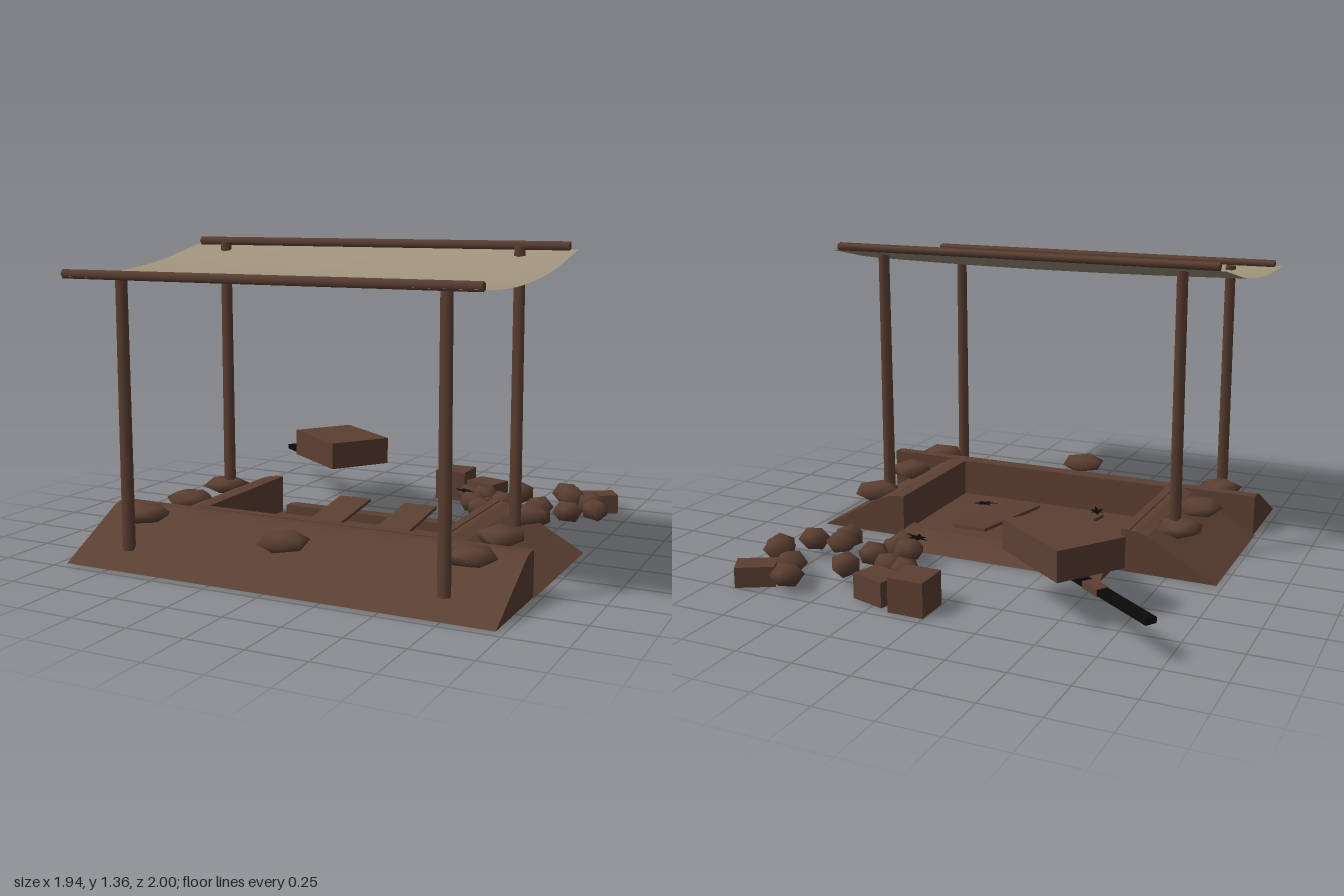
import * as THREE from 'three';
import { mergeVertices } from 'three/addons/utils/BufferGeometryUtils.js';

export function createModel() {
  const model = new THREE.Group();
  const mat = (name, color, extra = {}) => {
    const m = new THREE.MeshStandardMaterial({ color, ...extra });
    m.name = name;
    return m;
  };
  const earth = mat('earthBrown', 0x5c4033);
  const canvas = mat('canvasTan', 0xa0957d, { side: THREE.DoubleSide });
  const black = mat('black', 0x0a0a0a, { side: THREE.DoubleSide });

  const add = (name, geo, m, x = 0, y = 0, z = 0, parent = model) => {
    const mesh = new THREE.Mesh(geo, m);
    mesh.name = name;
    mesh.position.set(x, y, z);
    parent.add(mesh);
    return mesh;
  };
  const box = (name, w, h, d, x, y, z, m = earth, parent = model) =>
    add(name, new THREE.BoxGeometry(w, h, d), m, x, y, z, parent);
  const prism = (pts, depth) => new THREE.ExtrudeGeometry(
    new THREE.Shape(pts.map(p => new THREE.Vector2(...p))), { depth, bevelEnabled: false });

  // Earth banks round three sides of the trench
  const front = prism([[0.53, 0], [0.955, 0], [0.62, 0.18], [0.58, 0.192], [0.53, 0.192]], 1.93);
  front.rotateY(-Math.PI / 2);
  add('frontBank', front, earth, 0.965);
  for (const s of [-1, 1]) {
    const pts = [[0.56, 0], [0.972, 0], [0.66, 0.175], [0.61, 0.19], [0.56, 0.19]];
    add('sideBank', prism(pts.map(([x, y]) => [s * x, y]), 0.69), earth, 0, 0, -0.15);
    box('sideTrenchWall', 0.04, 0.19, 0.68, s * 0.56, 0.1, 0.19);
  }
  box('frontTrenchWall', 1.14, 0.19, 0.04, 0, 0.1, 0.52);
  box('trenchFloor', 1.12, 0.02, 0.68, 0, 0.011, 0.19);

  // Low step at the open back
  const step = prism([[-0.12, 0], [-0.12, 0.063], [-0.18, 0.062], [-0.235, 0.05], [-0.31, 0]], 1.01);
  step.rotateY(-Math.PI / 2);
  add('backStep', step, earth, 0.505);

  // Planks sloping down into the trench
  for (const x of [-0.17, 0.17]) {
    box('plank', 0.16, 0.015, 0.64, x, 0.07, 0.11).rotation.x = 0.13;
  }

  // Stones: rounded lumps with few sides
  const lump = new THREE.IcosahedronGeometry(1, 0);
  lump.deleteAttribute('normal');
  lump.deleteAttribute('uv');
  const lumpGeo = mergeVertices(lump);
  lumpGeo.computeVertexNormals();
  const stone = (name, x, y, z, rx, ry, turn) => {
    const s = add(name, lumpGeo, earth, x, y, z);
    s.scale.set(rx, ry, rx * 0.95);
    s.rotation.y = turn;
  };
  [[-0.76, 0.66], [0, 0.79], [0.75, 0.65], [-0.75, 0.34], [0.76, 0.33], [-0.75, 0.03], [0.74, -0.05]]
    .forEach(([x, z], i) => stone('bankStone', x, 0.172, z, 0.115, 0.042, i * 1.3));

  // Loose rubble pile behind
  [[0.66, -0.93], [0.715, -0.82], [0.475, -0.765], [0.24, -0.68], [0.32, -0.67], [0.85, -0.71],
    [0.885, -0.65], [0.785, -0.53], [0.64, -0.53], [0.67, -0.42], [0.445, -0.585], [0.32, -0.5],
    [0.4, -0.47], [0.39, -0.42]]
    .forEach(([x, z], i) => stone('rubbleStone', x, 0.07 + (i % 3) * 0.008, z, 0.075, 0.055, i * 0.9));

  // Small crates
  [[0.08, -0.88, 0.16, 0.15, 0.16, 0], [0.265, -0.85, 0.165, 0.11, 0.13, -0.29],
    [0.83, -0.91, 0.17, 0.09, 0.115, 0.5]]
    .forEach(([x, z, w, h, d, turn]) => { box('smallCrate', w, h, d, x, h / 2, z).rotation.y = turn; });

  // Large crate with a dark bar beneath it
  const crate = new THREE.Group();
  crate.name = 'largeCrateWithBar';
  crate.position.set(-0.455, 0, -0.613);
  crate.rotation.y = -0.626;
  model.add(crate);
  box('largeCrate', 0.425, 0.13, 0.315, 0, 0.27, 0, earth, crate);
  box('bar', 0.527, 0.024, 0.05, -0.343, 0.165, 0, black, crate);
  box('barSleeve', 0.1, 0.03, 0.056, -0.24, 0.165, 0, earth, crate);

  // Jagged dark scraps
  const scrap = new THREE.Shape();
  for (let i = 0; i < 12; i++) {
    const a = i / 12 * Math.PI * 2;
    const r = i % 2 ? 0.028 : 0.06 + 0.015 * Math.sin(i * 2.3);
    scrap[i ? 'lineTo' : 'moveTo'](r * Math.cos(a), r * 0.7 * Math.sin(a));
  }
  const scrapGeo = new THREE.ShapeGeometry(scrap).rotateX(-Math.PI / 2);
  [[0.32, 0.065, 0.27], [0, 0.05, 0.19], [-0.22, 0.055, 0.41], [0.28, 0.14, -0.48]]
    .forEach(([x, y, z], i) => { add('darkScrap', scrapGeo, black, x, y, z).rotation.y = i * 0.8 + 0.4; });

  // Canopy posts
  for (const x of [-0.725, 0.72]) {
    for (const [z, y0, y1] of [[0.84, 0.06, 1.232], [0.035, 0.14, 1.338]]) {
      add('post', new THREE.CylinderGeometry(0.026, 0.029, y1 - y0, 5), earth, x, (y0 + y1) / 2, z);
    }
  }

  // Sagging canopy
  const curve = new THREE.CatmullRomCurve3([[1.0, 1.222], [0.84, 1.216], [0.65, 1.218], [0.3, 1.25],
    [0.04, 1.303], [-0.065, 1.325]].map(([z, y]) => new THREE.Vector3(0, y, z)));
  const cloth = new THREE.PlaneGeometry(1.88, 1, 12, 12).rotateX(-Math.PI / 2);
  const pos = cloth.attributes.position;
  for (let i = 0; i < pos.count; i++) {
    const t = 0.5 - pos.getZ(i);
    const u = pos.getX(i) / 0.94;
    const p = curve.getPoint(t);
    pos.setY(i, p.y - 0.014 * (1 - u * u) * Math.sin(Math.PI * t));
    pos.setZ(i, p.z);
  }
  cloth.computeVertexNormals();
  add('canopy', cloth, canvas);

  // Rails along the canopy edges
  for (const [z, y] of [[0.975, 1.232], [-0.045, 1.34]]) {
    add('canopyRail', new THREE.CylinderGeometry(0.02, 0.02, 1.82, 5).rotateZ(Math.PI / 2), earth, 0, y, z);
  }
  return model;
}
